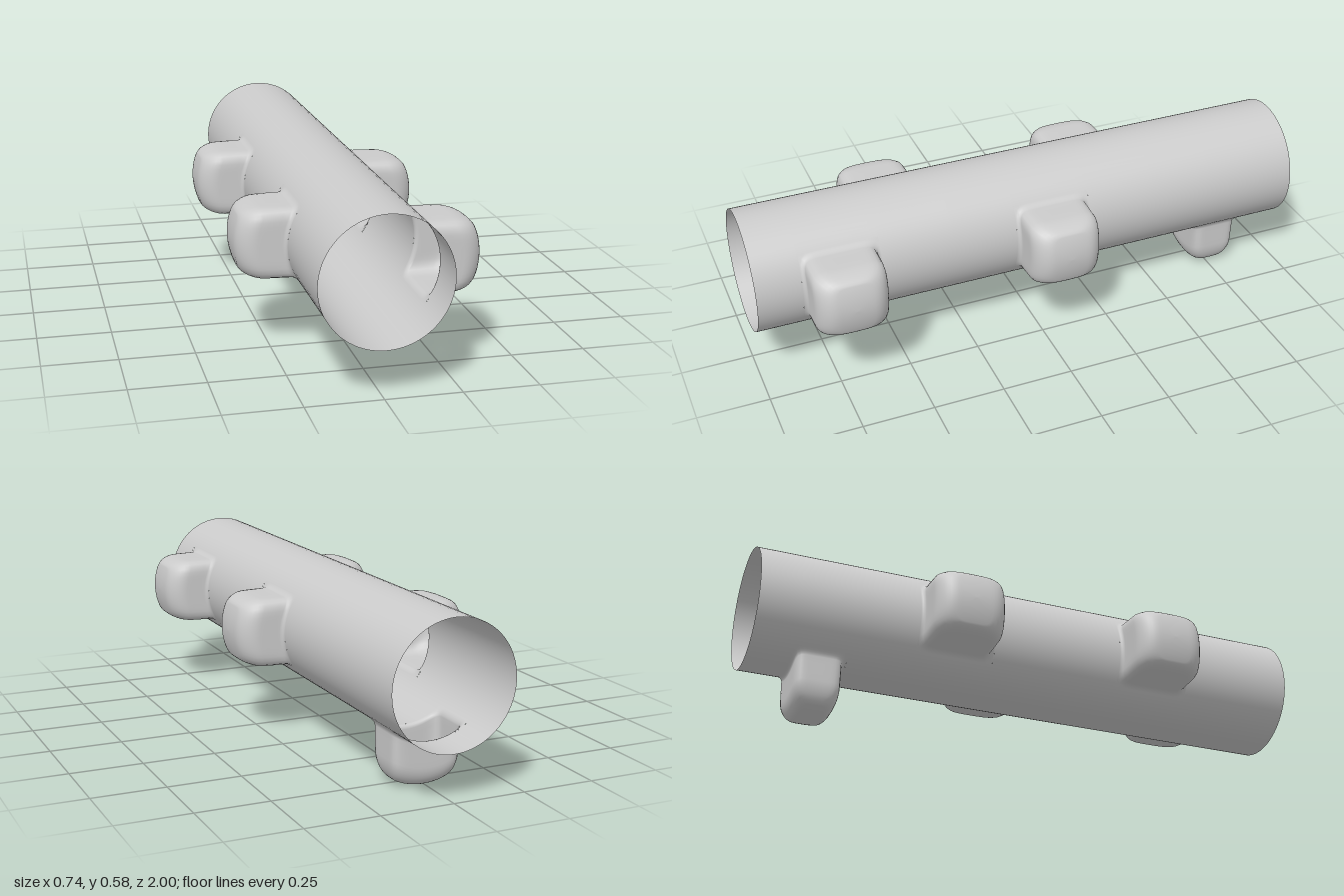
import * as THREE from 'three';

const R = 0.213;             // tube radius
const CX = 0.004, CY = 0.371; // tube axis
const FILLET = 0.014;
const SEG = 64;              // points around each pocket

// angle round the axis, position along it, half width, half length, reach from the axis
const POCKETS = [
  { name: 'leftFrontPocket', angle: 0, z: 0.705, a: 0.118, b: 0.125, reach: 0.367 },
  { name: 'leftRearPocket', angle: 0, z: -0.055, a: 0.118, b: 0.125, reach: 0.367 },
  { name: 'rightFrontPocket', angle: Math.PI, z: 0.45, a: 0.118, b: 0.125, reach: 0.377 },
  { name: 'rightRearPocket', angle: Math.PI, z: -0.305, a: 0.118, b: 0.125, reach: 0.377 },
  { name: 'bottomPocket', angle: Math.PI * 1.5, z: -0.76, a: 0.118, b: 0.08, reach: 0.371 },
];
const HOLE_ANGLE = Math.asin((0.118 + FILLET) / R);

const material = new THREE.MeshStandardMaterial({ color: 0xcccccc, side: THREE.DoubleSide });

function makeMesh(name, positions, index, normals) {
  const g = new THREE.BufferGeometry();
  g.setAttribute('position', new THREE.Float32BufferAttribute(positions, 3));
  g.setIndex(index);
  if (normals) g.setAttribute('normal', new THREE.Float32BufferAttribute(normals, 3));
  else g.computeVertexNormals();
  const mesh = new THREE.Mesh(g, material);
  mesh.name = name;
  return mesh;
}

// Open tube wall on a grid whose lines follow the pocket openings
function makeTube() {
  const thetas = [];
  const span = (from, to, n) => {
    for (let i = 0; i < n; i++) thetas.push(from + (to - from) * i / n);
  };
  const H = HOLE_ANGLE, P = Math.PI;
  span(-H, H, 16);
  span(H, P - H, 20);
  span(P - H, P + H, 16);
  span(P + H, 1.5 * P - H, 3);
  span(1.5 * P - H, 1.5 * P + H, 16);
  span(1.5 * P + H, 2 * P - H, 3);
  thetas.push(2 * P - H);

  const zs = [-1, 1];
  for (const p of POCKETS) zs.push(p.z - p.b - FILLET, p.z + p.b + FILLET);
  zs.sort((m, n) => m - n);

  const inHole = (t, z) => POCKETS.some(p =>
    Math.cos(t - p.angle) > Math.cos(H) && Math.abs(z - p.z) < p.b + FILLET);

  const pos = [], nor = [], index = [], n = zs.length;
  for (const t of thetas) for (const z of zs) {
    pos.push(CX + R * Math.cos(t), CY + R * Math.sin(t), z);
    nor.push(Math.cos(t), Math.sin(t), 0);
  }
  for (let i = 0; i < thetas.length - 1; i++) for (let j = 0; j < n - 1; j++) {
    if (inHole((thetas[i] + thetas[i + 1]) / 2, (zs[j] + zs[j + 1]) / 2)) continue;
    const k = i * n + j;
    index.push(k, k + n, k + n + 1, k, k + n + 1, k + 1);
  }
  return makeMesh('tube', pos, index, nor);
}

// Hollow rounded pocket: rings lofted from the tube opening to a domed end
function makePocket({ name, angle, z, a, b, reach }) {
  const du = 0.03, dv = 0.5 * b, edge = 0.062;
  const onTube = u => Math.sqrt(R * R - u * u);
  const dome = (u, v) => reach - 2.2 * u * u - 0.6 * v * v;
  const rings = []; // half width, half length, corner exponent, height rule

  // square opening, then the fillet
  rings.push([a + FILLET, b + FILLET, Infinity, onTube]);
  for (let i = 0; i <= 4; i++) {
    const t = i / 4 * Math.PI / 2;
    const d = (FILLET - 0.002) * (1 - Math.sin(t));
    rings.push([a + d, b + d, 9, u => onTube(u) + FILLET * (1 - Math.cos(t))]);
  }
  // straight wall
  for (let i = 1; i <= 3; i++) {
    const t = i / 4;
    rings.push([a, b, 9 - 2 * t, (u, v) =>
      (onTube(u) + FILLET) * (1 - t) + (dome(u, v) - edge) * t]);
  }
  // rounded rim
  for (let i = 0; i <= 8; i++) {
    const t = i / 8 * Math.PI / 2, c = 1 - Math.cos(t);
    rings.push([a - du * c, b - dv * c, 7 - 2 * i / 8,
      (u, v) => dome(u, v) - edge * (1 - Math.sin(t))]);
  }
  // domed end
  for (const s of [0.8, 0.6, 0.4, 0.2, 0.001]) {
    rings.push([(a - du) * s, (b - dv) * s, 5, dome]);
  }

  const pos = [], index = [];
  const ca = Math.cos(angle), sa = Math.sin(angle);
  rings.forEach(([hu, hv, n, height], i) => {
    for (let j = 0; j < SEG; j++) {
      const t = j / SEG * Math.PI * 2, c = Math.cos(t), s = Math.sin(t);
      const ac = Math.abs(c), as = Math.abs(s);
      const k = n === Infinity ? Math.max(ac, as) : (ac ** n + as ** n) ** (1 / n);
      const u = hu * c / k, v = hv * s / k, h = height(u, v);
      pos.push(CX + ca * h - sa * u, CY + sa * h + ca * u, z + v);
      if (i === rings.length - 1) continue;
      const p = i * SEG + j, q = i * SEG + (j + 1) % SEG;
      index.push(p, q, q + SEG, p, q + SEG, p + SEG);
    }
  });
  return makeMesh(name, pos, index);
}

export function createModel() {
  const group = new THREE.Group();
  group.name = 'tubeWithPockets';
  group.add(makeTube());
  for (const p of POCKETS) group.add(makePocket(p));
  return group;
}
